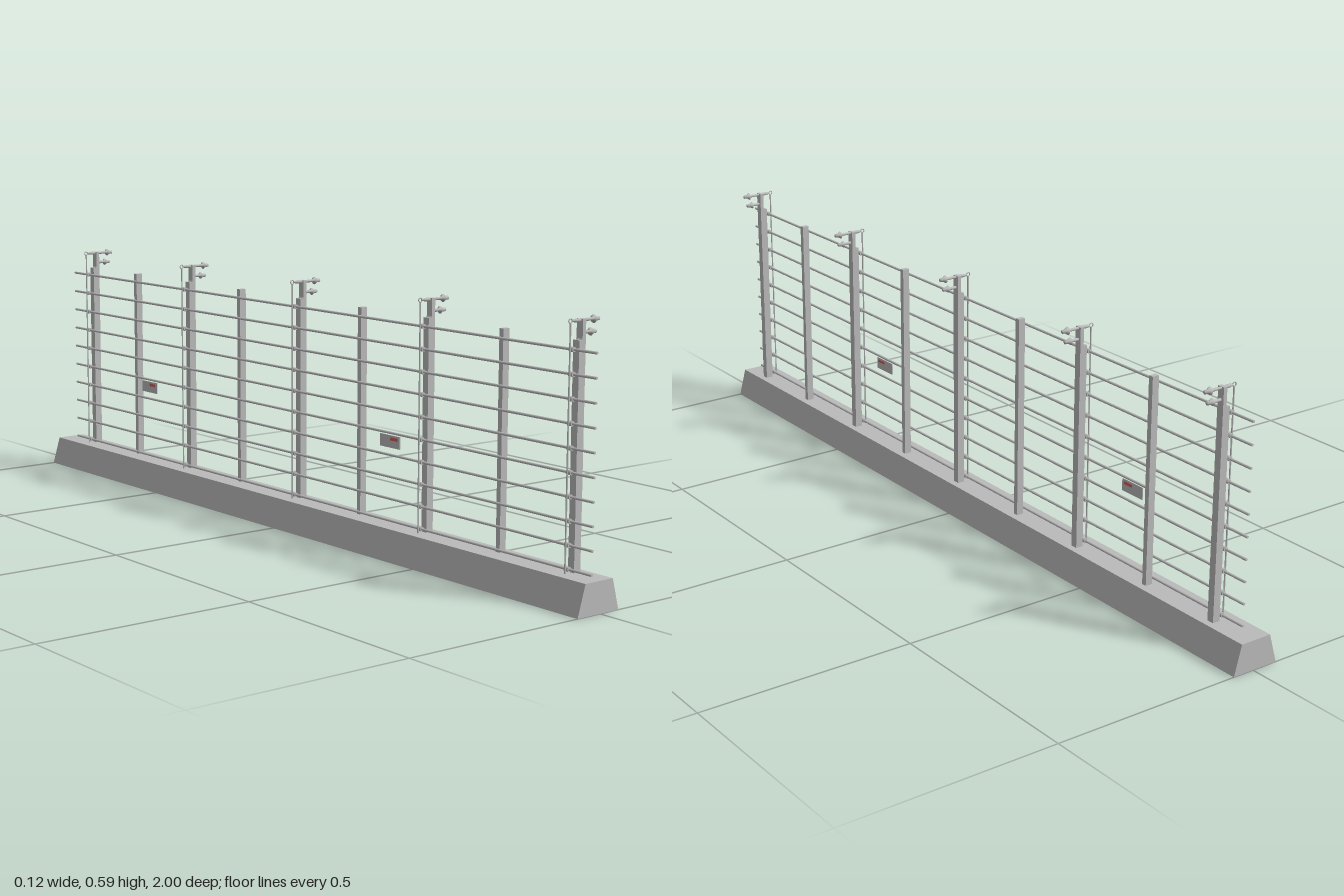
import * as THREE from 'three';

export function createModel() {
  const group = new THREE.Group();
  group.name = 'wireFence';
  const grey = new THREE.MeshStandardMaterial({ color: 0xbababa });
  grey.name = 'concreteGrey';
  const red = new THREE.MeshStandardMaterial({ color: 0xc8605a });
  red.name = 'signRed';

  const add = (name, geometry, x, y, z, parent = group, material = grey) => {
    const mesh = new THREE.Mesh(geometry, material);
    mesh.name = name;
    mesh.position.set(x, y, z);
    parent.add(mesh);
    return mesh;
  };
  // extrude an x-y outline along z, centred on z = 0
  const extrude = (points, depth) =>
    new THREE.ExtrudeGeometry(new THREE.Shape(points.map(p => new THREE.Vector2(...p))),
      { depth, bevelEnabled: false }).translate(0, 0, -depth / 2);
  // lathe whose profile [radius, x] runs along the x axis
  const latheX = points =>
    new THREE.LatheGeometry(points.map(p => new THREE.Vector2(...p)), 12).rotateZ(-Math.PI / 2)

  // sloped foundation
  add('foundation', extrude([[-0.063, 0], [0.052, 0], [0.034, 0.068], [-0.043, 0.068]], 2), 0, 0, 0);

  // horizontal wires
  const wireX = -0.0107;
  const wireYs = Array.from({ length: 10 }, (_, i) => 0.077 + i * 0.0496);
  const wire = new THREE.CylinderGeometry(0.003, 0.003, 1.94, 8).rotateX(Math.PI / 2);
  wireYs.forEach(y => add('wire', wire, wireX, y, 0.016));

  // main posts with a narrow top, sensor rod, wire beads and insulators
  const post = extrude([[0, 0.066], [0.018, 0.066], [0.018, 0.583], [0.009, 0.583],
    [0.009, 0.544], [0.007, 0.541], [0, 0.541]], 0.017);
  const rod = new THREE.CylinderGeometry(0.0018, 0.0018, 0.508, 8);
  const ring = new THREE.TorusGeometry(0.0045, 0.0013, 6, 16);
  const bead = new THREE.CylinderGeometry(0.0054, 0.0054, 0.012, 10).rotateX(Math.PI / 2);
  const upperInsulator = latheX([[0, -0.013], [0.002, -0.013], [0.004, -0.003], [0.004, 0.009],
    [0.003, 0.018], [0.0035, 0.046], [0.009, 0.047], [0.005, 0.053], [0.004, 0.062], [0, 0.062]]);
  const lowerInsulator = latheX([[0, 0.016], [0.0035, 0.016], [0.0035, 0.038],
    [0.0085, 0.039], [0.005, 0.045], [0.004, 0.054], [0, 0.054]]);
  for (const z of [0.917, 0.467, 0.016, -0.437, -0.887]) {
    const unit = new THREE.Group();
    unit.name = 'mainPostUnit';
    unit.position.z = z;
    group.add(unit);
    add('mainPost', post, 0, 0, 0, unit);
    add('sensorRod', rod, -0.017, 0.321, 0, unit);
    add('rodRing', ring, -0.0175, 0.58, 0, unit);
    add('upperInsulator', upperInsulator, 0, 0.58, 0, unit);
    add('lowerInsulator', lowerInsulator, 0, 0.555, 0, unit);
    wireYs.forEach(y => add('wireBead', bead, wireX, y, 0, unit));
  }

  // plain posts in between
  const midPost = new THREE.BoxGeometry(0.017, 0.476, 0.012);
  for (const z of [0.702, 0.241, -0.22, -0.676]) add('middlePost', midPost, 0.0085, 0.304, z);

  // hanging signs with a red mark on both faces
  const plate = new THREE.BoxGeometry(0.002, 0.028, 0.067);
  const mark = new THREE.BoxGeometry(0.003, 0.007, 0.026);
  for (const z of [0.363, -0.597]) {
    add('signPlate', plate, wireX, 0.256, z);
    add('signMark', mark, wireX, 0.262, z + 0.014, group, red);
  }
  return group;
}
